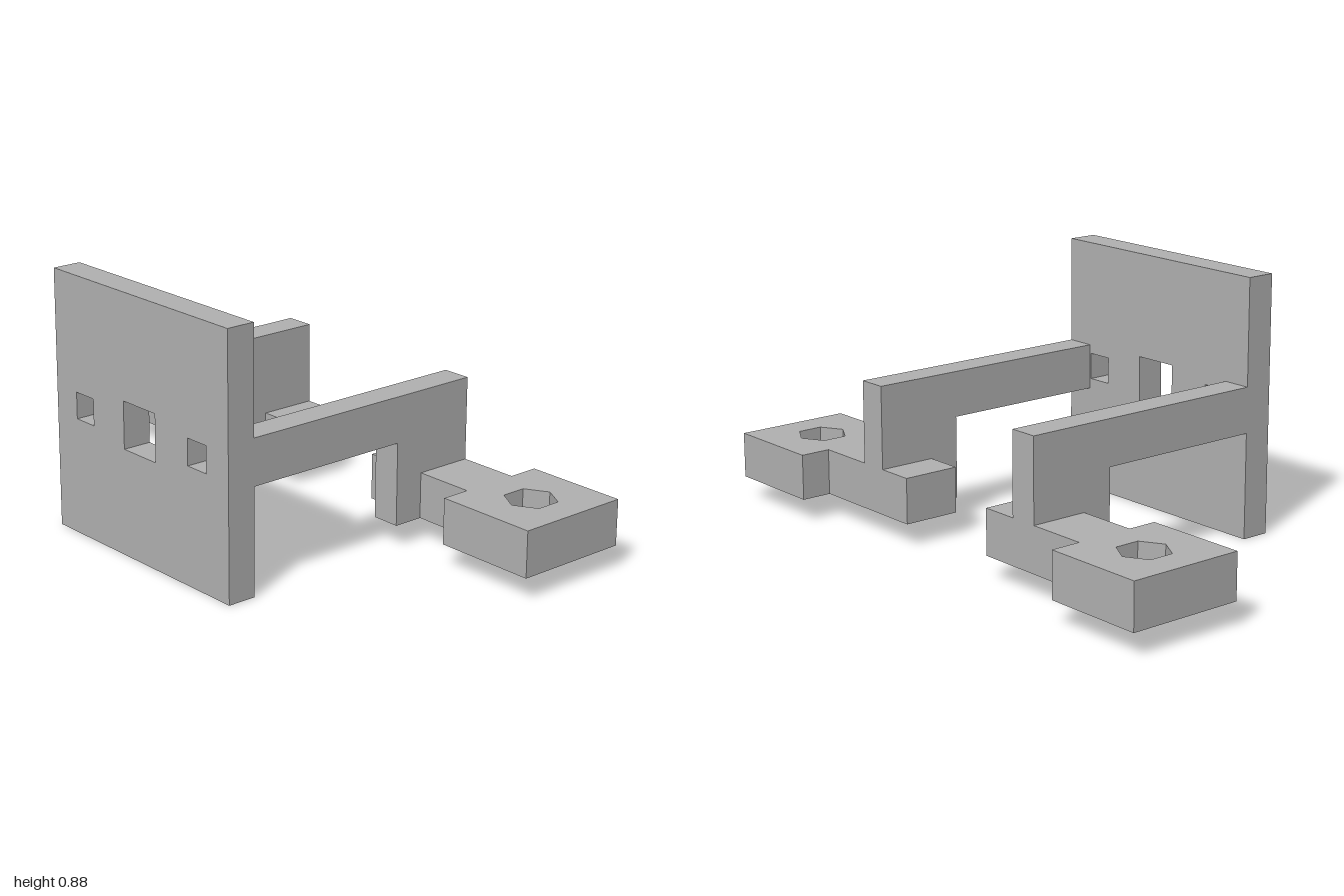
import * as THREE from 'three';

// Closed polygon from [x, y] pairs
const outline = (pts, Type = THREE.Shape) => new Type(pts.map(([x, y]) => new THREE.Vector2(x, y)));

const rect = (x0, y0, x1, y1, Type) => outline([[x0, y0], [x1, y0], [x1, y1], [x0, y1]], Type);

// Regular polygon hole with a corner pointing along y
const polygonHole = (cx, cy, r, sides) =>
  outline(Array.from({ length: sides }, (_, i) => {
    const a = Math.PI / 2 + (i * 2 * Math.PI) / sides;
    return [cx + r * Math.cos(a), cy + r * Math.sin(a)];
  }), THREE.Path);

const extrude = (shape, depth) => new THREE.ExtrudeGeometry(shape, { depth, bevelEnabled: false });

export function createModel() {
  const model = new THREE.Group();
  model.name = 'mountingBracket';
  const grey = new THREE.MeshStandardMaterial({ color: 0xb0b0b0 });
  grey.name = 'grey';

  const add = (name, geometry) => {
    const mesh = new THREE.Mesh(geometry, grey);
    mesh.name = name;
    model.add(mesh);
  };

  // Square front plate with one large and two small windows
  const plate = rect(-0.435, 0, 0.435, 0.875);
  plate.holes.push(rect(-0.08, 0.36, 0.08, 0.52, THREE.Path));
  for (const s of [-1, 1]) {
    plate.holes.push(rect(s * 0.285 - 0.045, 0.395, s * 0.285 + 0.045, 0.485, THREE.Path));
  }
  add('frontPlate', extrude(plate, 0.1).translate(0, 0, 0.45));

  const footBottom = 0.08, footTop = 0.235, nutFloor = 0.135;

  for (const s of [-1, 1]) {
    const side = s > 0 ? 'left' : 'right';

    // Arm with its downward leg: profile in (-z, y), turned to run along z
    const arm = outline([
      [-0.45, 0.515], [-0.45, 0.36], [0.14, 0.36], [0.14, footTop], [0.445, footTop], [0.445, 0.515],
    ]);
    add(side + 'Arm', extrude(arm, 0.1).translate(0, 0, -0.05).rotateY(Math.PI / 2)
      .translate(s * 0.385, 0, 0));

    // Foot plan in (x, -z): inner stub, leg base, crossbar and wide pad
    const footLayer = (y0, y1, hole) => {
      const plan = outline([
        [0.205, 0.445], [0.205, 0.245], [0.335, 0.245], [0.335, 0.14], [0.435, 0.14],
        [0.435, 0.245], [0.643, 0.245], [0.643, 0.145], [1, 0.145], [1, 0.55],
        [0.643, 0.55], [0.643, 0.445],
      ].map(([x, z]) => [s * x, z]));
      plan.holes.push(hole);
      return extrude(plan, y1 - y0).rotateX(-Math.PI / 2).translate(0, y0, 0);
    };

    // Bolt hole below, hexagonal nut pocket above
    add(side + 'FootBase', footLayer(footBottom, nutFloor, polygonHole(s * 0.82, 0.348, 0.044, 32)));
    add(side + 'FootNutPocket', footLayer(nutFloor, footTop, polygonHole(s * 0.82, 0.348, 0.086, 6)));
  }
  return model;
}
